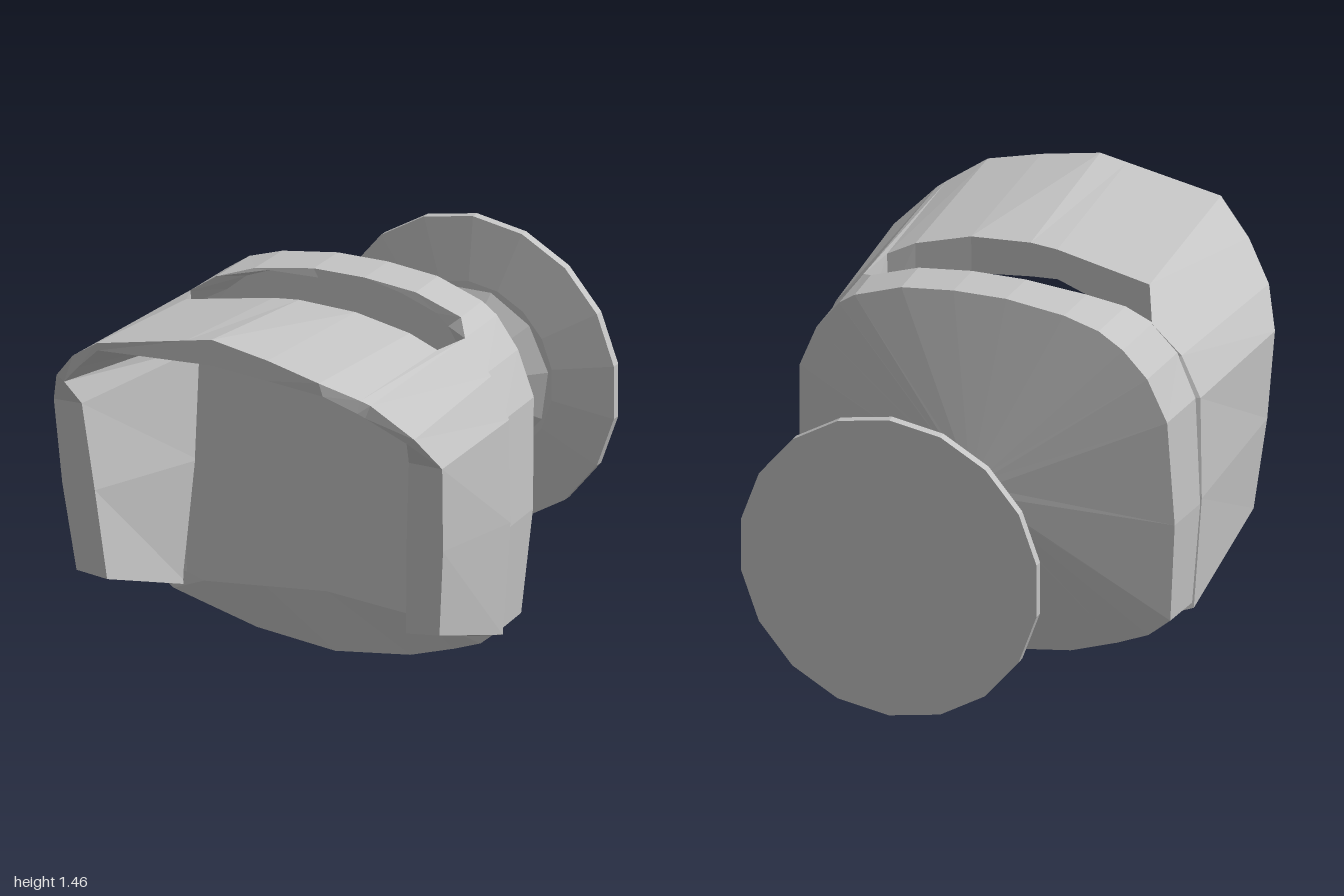
import * as THREE from 'three';

const grey = new THREE.MeshStandardMaterial({ color: 0xc4c4c4 });
grey.name = 'plain grey';

// Faceted skin through a list of closed rings with equal point counts
function loft(rings) {
  const pos = [];
  const same = (a, b) => a.every((v, k) => v === b[k]);
  const tri = (a, b, c) => {
    if (!same(a, b) && !same(b, c) && !same(a, c)) pos.push(...a, ...b, ...c);
  };
  for (let r = 0; r < rings.length - 1; r++) {
    const A = rings[r], B = rings[r + 1], n = A.length;
    for (let i = 0; i < n; i++) {
      const j = (i + 1) % n;
      tri(A[i], B[i], B[j]);
      tri(A[i], B[j], A[j]);
    }
  }
  const g = new THREE.BufferGeometry();
  g.setAttribute('position', new THREE.Float32BufferAttribute(pos, 3));
  g.computeVertexNormals();
  return g;
}

// Faceted turned part along the z axis, profile given as [radius, z]
function turned(profile, sides) {
  const pts = profile.map(([r, z]) => new THREE.Vector2(r, z));
  const g = new THREE.LatheGeometry(pts, sides).toNonIndexed();
  g.computeVertexNormals();
  return g.rotateX(Math.PI / 2).translate(0, 0.707, 0);
}

const flip = ([x, y, z]) => [-x, y, z];

export function createModel() {
  const model = new THREE.Group();
  const add = (name, geometry) => {
    const mesh = new THREE.Mesh(geometry, grey);
    mesh.name = name;
    model.add(mesh);
  };

  // Wall mount: plate, stepped hub and thin arm
  add('wallPlate', turned([[0, -1], [0.56, -1], [0.56, -0.967], [0.33, -0.935], [0, -0.93]], 18));
  add('mountHub', turned([[0, -0.94], [0.315, -0.933], [0.162, -0.85], [0.157, -0.84], [0.055, -0.68], [0, -0.675]], 11));
  add('mountArm', turned([[0.054, -0.69], [0.054, -0.2]], 6));

  // Back plate: shallow cone behind, rim, tilted flat front with a bottom lip
  const topLeft = [[0.1, 1.39, 0.04], [0.3, 1.37, 0.04], [0.48, 1.31, 0.045], [0.54, 1.27, 0.13]];
  const topRight = [[-0.54, 1.26, 0.13], [-0.45, 1.32, 0.1], [-0.32, 1.36, 0.06], [-0.1, 1.39, 0.04]];
  const flank = [
    [0.63, 1.16, 0.14], [0.7, 1.0, 0.14], [0.715, 0.6, 0.14], [0.685, 0.22, 0.14],
    [0.6, 0.15, 0.13], [0.48, 0.1, 0.1], [0.3, 0.04, 0.08],
  ];
  const rim = [...topLeft, ...flank, [0, 0, 0.07], ...flank.slice().reverse().map(flip), ...topRight];
  const point = (p) => rim.map(() => p);
  const backRim = rim.map(([x, y]) => [x * 0.98, y, -0.14 + (1.39 - y) * 0.086]);
  const nub = rim.map(([x, y]) => [x * 0.07, 0.707 + (y - 0.707) * 0.08, -0.222]);
  const inner = rim.map(([x, y]) => {
    const yi = THREE.MathUtils.clamp(y, 0.17 + 0.07 * (1 - Math.abs(x)), 1.36);
    return [x * 0.8, yi, 0.04 + (1.39 - yi) * 0.078];
  });
  add('backPlate', loft([point([0, 0.707, -0.224]), nub, backRim, rim, inner, point([0, 0.71, 0.093])]));

  // Hood: stations from the lower side edges up to the crown,
  // each with outer front, outer rear, inner rear and inner front corners
  const wall = [
    [[0.71, 0.37, 0.65], [0.69, 0.2, 0.135], [0.56, 0.16, 0.1], [0.585, 0.36, 0.66]],
    [[0.745, 0.7, 0.69], [0.72, 0.62, 0.135], [0.53, 0.62, 0.08], [0.61, 0.7, 0.705]],
    [[0.76, 1.02, 0.725], [0.715, 1.0, 0.135], [0.53, 1.03, 0.06], [0.64, 1.03, 0.745]],
    [[0.7, 1.15, 0.82], [0.645, 1.15, 0.135], [0.53, 1.08, 0.07], [0.67, 1.13, 0.82]],
  ];
  const rightShoulder = [
    [[-0.59, 1.27, 0.91], [-0.54, 1.26, 0.12], [-0.53, 1.08, 0.11], [-0.57, 1.23, 0.91]],
    [[-0.45, 1.37, 1], [-0.45, 1.31, 0.325], [-0.45, 1.14, 0.33], [-0.45, 1.34, 0.99]],
    [[-0.1, 1.44, 1], [-0.1, 1.38, 0.34], [-0.1, 1.265, 0.345], [-0.1, 1.36, 1]],
  ];
  const leftShoulder = [
    [[0, 1.46, 1], [0, 1.39, 0.34], [0, 1.26, 0.345], [0, 1.365, 1]],
    [[0.22, 1.42, 1], [0.22, 1.38, 0.335], [0.22, 1.24, 0.34], [0.22, 1.345, 1]],
    [[0.42, 1.37, 1], [0.42, 1.33, 0.315], [0.42, 1.14, 0.32], [0.43, 1.32, 0.99]],
    [[0.54, 1.3, 0.92], [0.52, 1.28, 0.3], [0.515, 1.09, 0.3], [0.53, 1.25, 0.92]],
    [[0.57, 1.28, 0.9], [0.54, 1.27, 0.12], [0.53, 1.08, 0.11], [0.55, 1.23, 0.9]],
  ];
  const stations = [...wall.map((s) => s.map(flip)), ...rightShoulder, ...leftShoulder, ...wall.slice().reverse()];
  const cap = (s) => {
    const c = [0, 1, 2].map((k) => s.reduce((sum, p) => sum + p[k] / 4, 0));
    return s.map(() => c);
  };
  add('hood', loft([cap(stations[0]), ...stations, cap(stations[stations.length - 1])]));

  return model;
}
